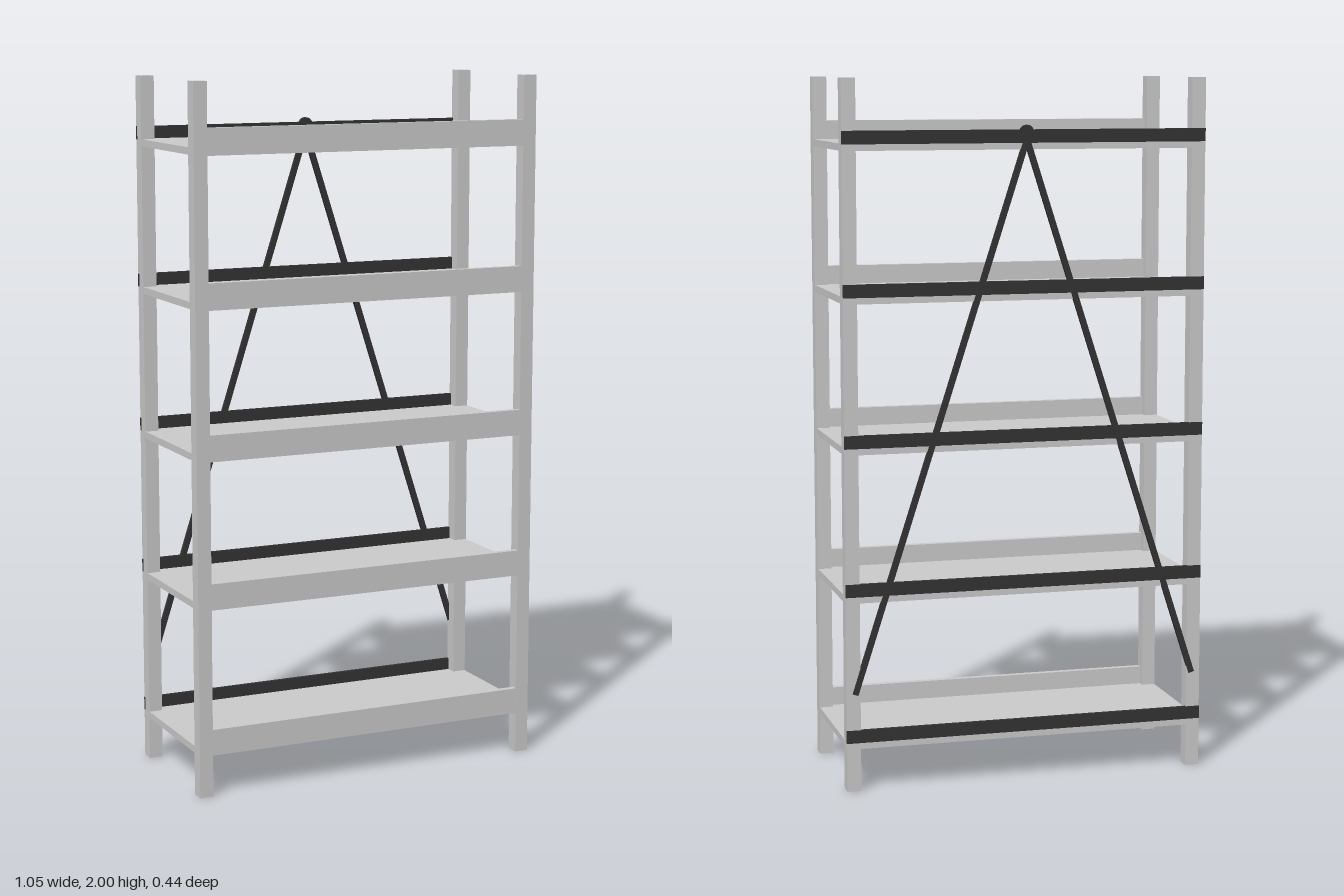
import * as THREE from 'three';

const WIDTH = 1.05, DEPTH = 0.44, HEIGHT = 2, POST = 0.04;
const SHELVES = 5, FIRST = 0.12, STEP = 0.42;

export function createModel() {
  const group = new THREE.Group();
  group.name = 'shelvingUnit';
  const grey = new THREE.MeshStandardMaterial({ color: 0xcccccc });
  const dark = new THREE.MeshStandardMaterial({ color: 0x333333 });

  const add = (name, geometry, material, x, y, z) => {
    const mesh = new THREE.Mesh(geometry, material);
    mesh.name = name;
    mesh.position.set(x, y, z);
    group.add(mesh);
    return mesh;
  };

  // Corner posts
  const postGeometry = new THREE.BoxGeometry(POST, HEIGHT, POST);
  for (const sx of [-1, 1]) {
    for (const sz of [-1, 1]) {
      const name = (sz > 0 ? 'front' : 'back') + (sx > 0 ? 'Left' : 'Right') + 'Post';
      add(name, postGeometry, grey, sx * (WIDTH - POST) / 2, HEIGHT / 2, sz * (DEPTH - POST) / 2);
    }
  }

  // Shelves, each with a tall front rail and a thin dark back rail
  const shelfGeometry = new THREE.BoxGeometry(WIDTH - 0.002, 0.02, DEPTH - 0.002);
  const frontGeometry = new THREE.BoxGeometry(WIDTH - POST, 0.075, 0.019);
  const backGeometry = new THREE.BoxGeometry(WIDTH, 0.037, 0.01);
  for (let i = 0; i < SHELVES; i++) {
    const y = FIRST + i * STEP;
    add('shelf', shelfGeometry, grey, 0, y + 0.012, 0);
    add('frontRail', frontGeometry, grey, 0, y + 0.0375, 0.21);
    add('backRail', backGeometry, dark, 0, y + 0.0385, -0.217);
  }

  // Two diagonal back braces meeting at the top rail
  const apex = new THREE.Vector2(0, 1.83);
  const foot = new THREE.Vector2(0.5, 0.28);
  const span = foot.clone().sub(apex);
  const braceGeometry = new THREE.BoxGeometry(0.017, span.length(), 0.01);
  for (const s of [-1, 1]) {
    const brace = add(s > 0 ? 'leftBrace' : 'rightBrace', braceGeometry, dark,
      s * (apex.x + foot.x) / 2, (apex.y + foot.y) / 2, -0.218);
    brace.rotation.z = s * Math.atan2(span.x, -span.y);
  }

  // Round joint where the braces meet
  const joint = add('braceJoint', new THREE.CylinderGeometry(0.02, 0.02, 0.012, 20), dark, 0, 1.85, -0.217);
  joint.rotation.x = Math.PI / 2;

  return group;
}
